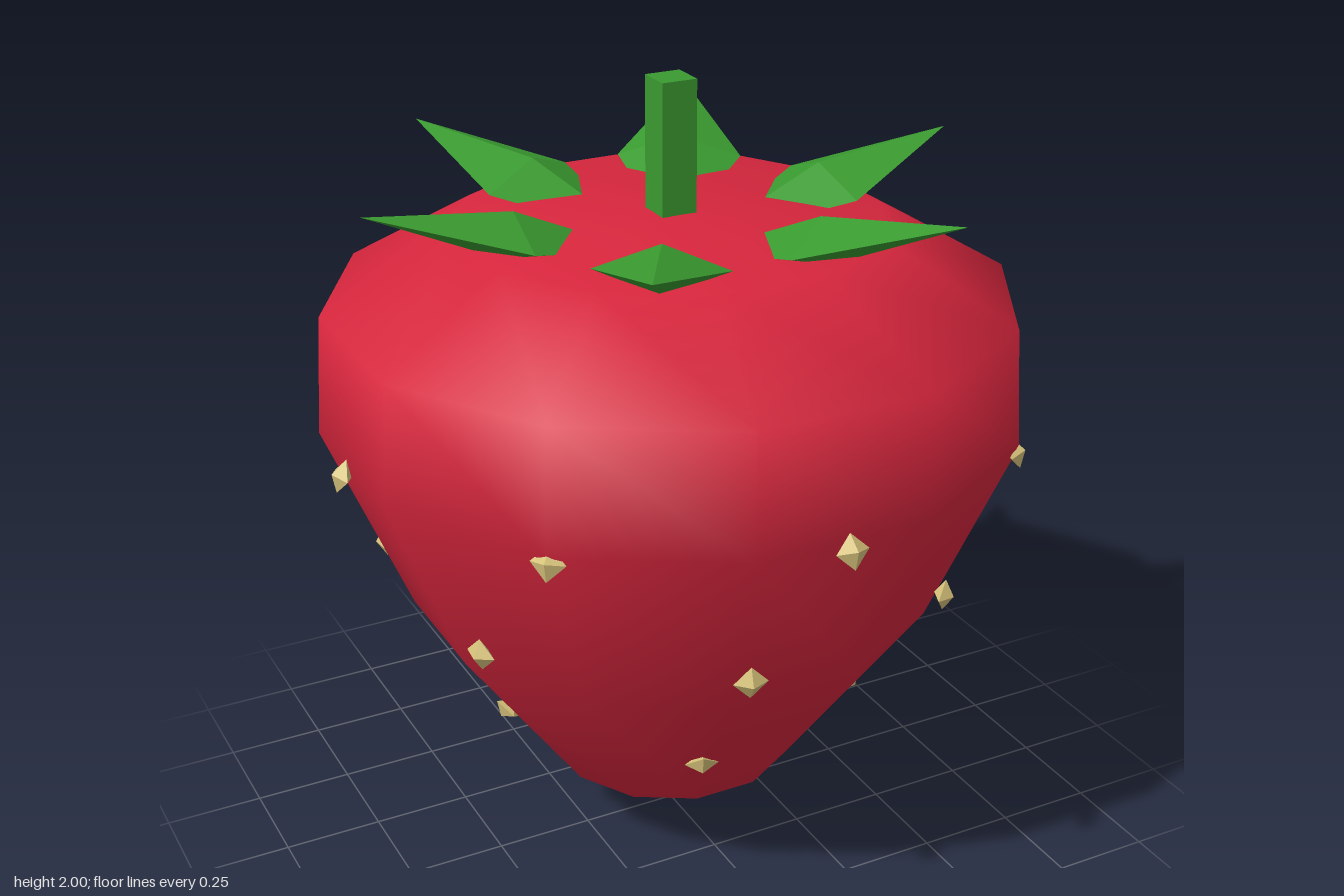
import * as THREE from 'three';

const material = (name, color) => {
  const m = new THREE.MeshStandardMaterial({ color });
  m.name = name;
  return m;
};

export function createModel() {
  const model = new THREE.Group();
  model.name = 'strawberry';
  const red = material('berry red', 0xd7263d);
  const green = material('leaf green', 0x3a9a30);
  const cream = material('seed cream', 0xd6c27a);

  const add = (name, geometry, mat) => {
    const mesh = new THREE.Mesh(geometry, mat);
    mesh.name = name;
    model.add(mesh);
    return mesh;
  };

  // Twelve-sided smooth body, tip down
  const profile = [
    [0, 0.005], [0.315, 0.21], [0.66, 0.69], [0.864, 1.18],
    [0.843, 1.475], [0.522, 1.66], [0, 1.68],
  ].map(([r, y]) => new THREE.Vector2(r, y));
  add('body', new THREE.LatheGeometry(profile, 12, Math.PI / 12), red);

  // Square stem
  add('stem', new THREE.BoxGeometry(0.09, 0.36, 0.09), green).position.y = 1.82;

  // Six faceted leaves tilted up, their inner ends sunk into the body
  const diamond = new THREE.OctahedronGeometry(1, 0);
  for (let i = 0; i < 6; i++) {
    const a = (i / 6) * Math.PI * 2;
    const leaf = add('leaf', diamond, green);
    leaf.scale.set(0.362, 0.057, 0.157);
    leaf.position.set(Math.cos(a) * 0.42, 1.682, Math.sin(a) * 0.42);
    leaf.rotation.set(0, -a, 0.27, 'YXZ');
  }

  // Three rings of small flattened seeds, facing away from the body's middle
  const rings = [
    { y: 1.165, r: 0.856, count: 8, start: 0 },
    { y: 0.8, r: 0.727, count: 7, start: 0 },
    { y: 0.42, r: 0.467, count: 5, start: 0.5 },
  ];
  for (const { y, r, count, start } of rings) {
    for (let i = 0; i < count; i++) {
      const a = ((i + start) / count) * Math.PI * 2;
      const seed = add('seed', diamond, cream);
      seed.scale.set(0.042, 0.042, 0.025);
      seed.position.set(Math.cos(a) * r, y, Math.sin(a) * r);
      seed.rotation.set(-Math.atan2(y - 0.85, r), Math.PI / 2 - a, 0, 'YXZ');
    }
  }
  return model;
}
